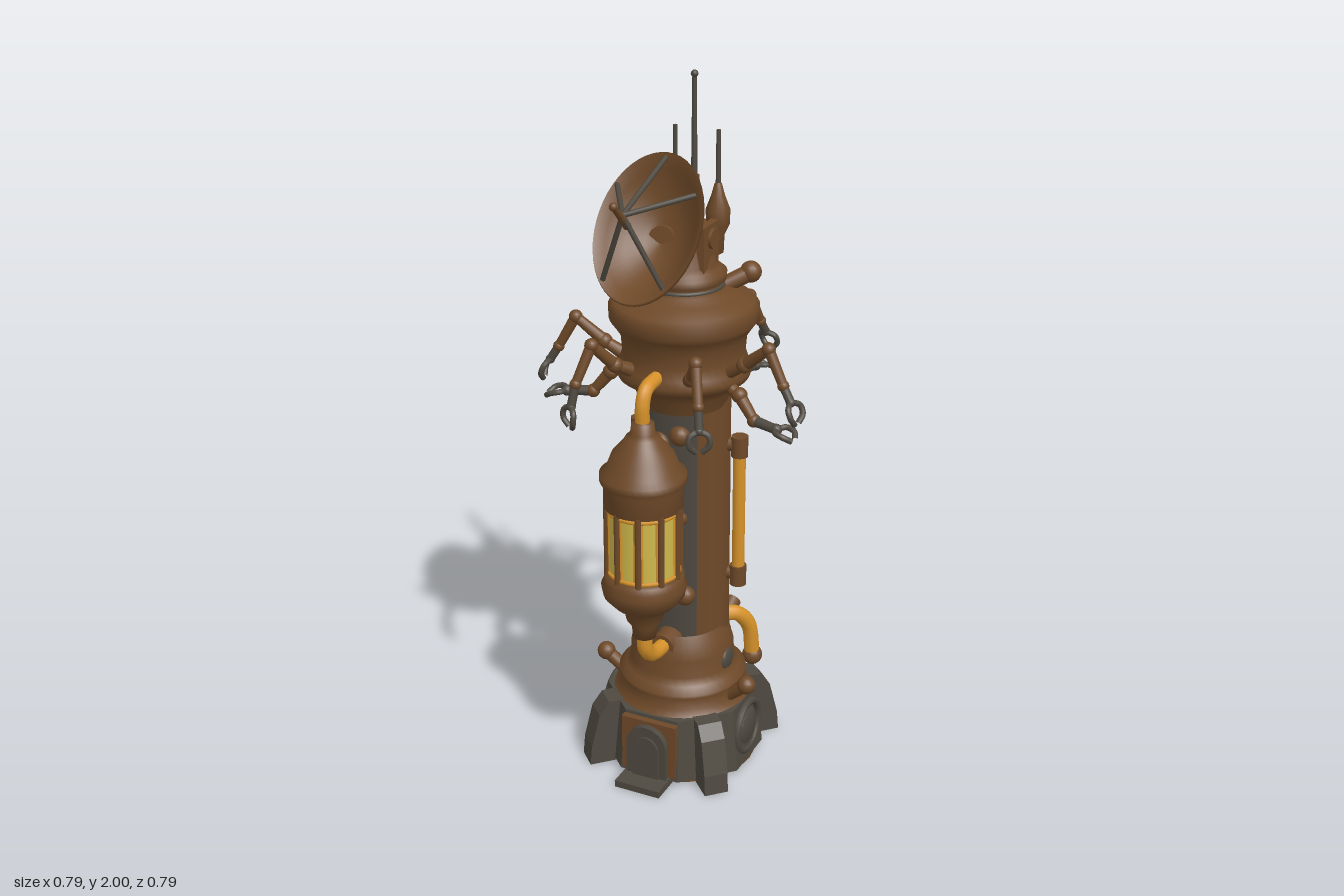
import * as THREE from 'three';

const mat = (name, color) => {
  const m = new THREE.MeshStandardMaterial({ color });
  m.name = name;
  return m;
};
const V = (x, y, z) => new THREE.Vector3(x, y, z);

export function createModel() {
  const model = new THREE.Group();
  model.name = 'watchtower';
  const brown = mat('rusty brown', 0x6e4928);
  const grey = mat('dark iron', 0x4e4940);
  const gold = mat('amber', 0xd6922a);
  const glass = mat('pale yellow glass', 0xcfb84c);

  // Helpers
  const add = (name, geo, m, parent = model, pos = [0, 0, 0]) => {
    const mesh = new THREE.Mesh(geo, m);
    mesh.name = name;
    mesh.position.set(...pos);
    parent.add(mesh);
    return mesh;
  };
  const lathe = (name, pts, m, pos, parent = model, seg = 40) =>
    add(name, new THREE.LatheGeometry(pts.map(p => new THREE.Vector2(...p)), seg), m, parent, pos);
  const ball = (name, p, r, m, parent = model) =>
    add(name, new THREE.SphereGeometry(r, 16, 10), m, parent, p);
  const rod = (name, a, b, r1, r2, m, parent = model) => {
    const p = V(...a), q = V(...b), d = q.clone().sub(p);
    const mesh = add(name, new THREE.CylinderGeometry(r2, r1, d.length(), 14), m, parent);
    mesh.position.copy(p).add(q).multiplyScalar(0.5);
    mesh.quaternion.setFromUnitVectors(V(0, 1, 0), d.normalize());
    return mesh;
  };
  const tube = (name, pts, r, m, parent = model) =>
    add(name, new THREE.TubeGeometry(new THREE.CatmullRomCurve3(pts.map(p => V(...p))), 24, r, 10), m, parent);
  const box = (name, w, h, d, m, pos) => add(name, new THREE.BoxGeometry(w, h, d), m, model, pos);
  const faceted = geo => {
    const g = geo.toNonIndexed();
    g.computeVertexNormals();
    return g;
  };

  // Octagonal base, its underside and five sloped buttresses
  const base = add('base', faceted(new THREE.CylinderGeometry(0.218, 0.238, 0.19, 8)), grey, model, [0, 0.105, 0]);
  base.rotation.y = Math.PI / 8;
  add('baseUnderside', new THREE.CylinderGeometry(0.22, 0.22, 0.01, 24), brown, model, [0, 0.005, 0]);
  const buttress = (angle, reach, width) => {
    const s = new THREE.Shape();
    [[0.15, 0], [reach, 0], [reach - 0.005, 0.06], [reach - 0.03, 0.16], [reach - 0.06, 0.2], [0.15, 0.205]]
      .forEach(([x, y], i) => (i ? s.lineTo(x, y) : s.moveTo(x, y)));
    const g = new THREE.ExtrudeGeometry(s, { depth: width, bevelEnabled: false });
    g.translate(0, 0, -width / 2);
    add('buttress', g, grey).rotation.y = -angle;
  };
  [1, 3, 5, 7].forEach(k => buttress(k * Math.PI / 4, 0.295, 0.07));
  buttress(-Math.PI / 2, 0.305, 0.09);

  // Arched door with brown surround and step
  const arch = (w, h) => {
    const s = new THREE.Shape();
    s.moveTo(-w, 0);
    s.lineTo(w, 0);
    s.lineTo(w, h - w);
    s.absarc(0, h - w, w, 0, Math.PI, false);
    s.lineTo(-w, 0);
    return s;
  };
  box('doorSurround', 0.17, 0.17, 0.02, brown, [0, 0.105, 0.212]);
  add('doorFrame', new THREE.ExtrudeGeometry(arch(0.062, 0.18), { depth: 0.06, bevelEnabled: false }), grey, model, [0, 0, 0.18]);
  add('door', new THREE.ExtrudeGeometry(arch(0.04, 0.14), { depth: 0.006, bevelEnabled: false }), grey, model, [0, 0.01, 0.24]);
  box('doorStep', 0.14, 0.02, 0.1, grey, [0, 0.01, 0.25]);

  // Skirt, column and head
  lathe('skirt', [[0.205, 0.185], [0.2, 0.2], [0.182, 0.215], [0.18, 0.25], [0.185, 0.262], [0.165, 0.28],
    [0.15, 0.3], [0.148, 0.35], [0.135, 0.39], [0.12, 0.42]], brown, [0, 0, -0.005]);
  const column = new THREE.Group();
  column.name = 'column';
  column.position.set(0, 0.76, -0.03);
  column.scale.z = 0.86;
  model.add(column);
  add('columnShaft', new THREE.CylinderGeometry(0.126, 0.126, 0.84, 32), brown, column);
  const shell = (name, start, len) =>
    add(name, new THREE.CylinderGeometry(0.13, 0.13, 0.8, 24, 1, true, start, len), grey, column);
  shell('backPanel', Math.PI - 0.85, 1.7);
  shell('frontPanel', -0.62, 1.24);
  lathe('head', [[0.12, 1.1], [0.135, 1.14], [0.15, 1.165], [0.18, 1.18], [0.187, 1.2], [0.178, 1.22], [0.168, 1.25],
    [0.172, 1.3], [0.192, 1.33], [0.203, 1.345], [0.205, 1.38], [0.192, 1.395], [0.15, 1.415], [0.115, 1.43],
    [0.104, 1.445], [0.114, 1.455], [0.116, 1.475], [0.1, 1.488], [0.088, 1.5], [0.078, 1.56], [0.06, 1.61], [0, 1.625]],
  brown, [0, 0, -0.012], model, 48);
  add('neckBand', new THREE.TorusGeometry(0.105, 0.006, 8, 32).rotateX(Math.PI / 2), grey, model, [0, 1.44, -0.012]);

  // Front fittings on the column
  [[0.045, 0.54, 0.03], [-0.04, 0.5, 0.026], [0, 0.6, 0.024], [0.03, 0.78, 0.022], [-0.03, 1.0, 0.032], [0.03, 1.03, 0.03]]
    .forEach(([x, y, r]) => ball('fitting', [x, y, 0.075], r, brown));
  rod('pipeSocket', [0, 0.39, 0.05], [0, 0.39, 0.13], 0.045, 0.034, brown);

  // Hanging lantern with its two pipes
  const lantern = new THREE.Group();
  lantern.name = 'lantern';
  lantern.position.set(0, 0, 0.24);
  model.add(lantern);
  lathe('lanternCap', [[0.09, 0.885], [0.108, 0.89], [0.108, 0.95], [0.118, 0.965], [0.118, 0.985], [0.1, 1.0],
    [0.085, 1.04], [0.055, 1.075], [0.046, 1.09], [0.034, 1.1], [0.03, 1.13], [0, 1.135]], brown, [0, 0, 0], lantern);
  lathe('lanternBowl', [[0, 0.48], [0.032, 0.485], [0.036, 0.52], [0.05, 0.54], [0.056, 0.57], [0.085, 0.59], [0.112, 0.62],
    [0.118, 0.65], [0.11, 0.665], [0.11, 0.685], [0.095, 0.69], [0, 0.69]], brown, [0, 0, 0], lantern);
  add('lanternGlass', new THREE.CylinderGeometry(0.096, 0.096, 0.22, 32), glass, lantern, [0, 0.785, 0]);
  for (let i = 0; i < 10; i++) {
    const a = (i + 0.5) * Math.PI / 5, s = Math.sin(a), c = Math.cos(a);
    add('paneEdge', new THREE.CylinderGeometry(0.016, 0.016, 0.21, 8), gold, lantern, [s * 0.087, 0.785, c * 0.087]);
    add('lanternPost', new THREE.CylinderGeometry(0.009, 0.009, 0.22, 8), brown, lantern, [s * 0.101, 0.785, c * 0.101]);
  }
  [0.695, 0.88].forEach(y =>
    add('glassRing', new THREE.TorusGeometry(0.097, 0.006, 6, 32).rotateX(Math.PI / 2), gold, lantern, [0, y, 0]));
  tube('upperPipe', [[0, 1.1, 0.24], [0, 1.18, 0.24], [0, 1.215, 0.22], [0, 1.225, 0.15]], 0.02, gold);
  tube('lowerPipe', [[0, 0.5, 0.24], [0, 0.44, 0.235], [0, 0.4, 0.19], [0, 0.39, 0.08]], 0.022, gold);

  // Claw arm in the x-y plane: joints, tapering links and a two-fingered grip
  const arm = (dx, dz, pts, name) => {
    const g = new THREE.Group();
    g.name = name;
    g.rotation.y = -Math.atan2(dz, dx);
    model.add(g);
    const P = pts.map(([x, y]) => [x, y, 0]);
    const end = P.length - 1;
    for (let i = 0; i < end; i++) {
      const m = i < end - 1 ? brown : grey;
      rod('armLink', P[i], P[i + 1], 0.021 - i * 0.003, 0.015 - i * 0.001, m, g);
      ball('armJoint', P[i + 1], 0.022 - i * 0.003, m, g);
    }
    const [ax, ay] = pts[end - 1], [x, y] = pts[end];
    const grip = new THREE.Group();
    grip.name = 'claw';
    grip.position.set(x, y, 0);
    grip.rotation.z = Math.atan2(y - ay, x - ax);
    g.add(grip);
    [-1, 1].forEach(s =>
      tube('clawFinger', [[0, 0, 0], [0.015, 0.004, s * 0.025], [0.04, 0, s * 0.026], [0.058, -0.012, s * 0.008]], 0.008, grey, grip));
  };
  const upper = [[0.15, 1.22], [0.215, 1.26], [0.295, 1.325], [0.345, 1.235], [0.37, 1.195]];
  const frontUpper = [[0.15, 1.22], [0.21, 1.25], [0.28, 1.32], [0.33, 1.22], [0.345, 1.16]];
  const lower = [[0.13, 1.2], [0.2, 1.17], [0.25, 1.11], [0.325, 1.105]];
  for (const s of [-1, 1]) {
    arm(s * 0.97, 0.25, upper, 'sideUpperArm');
    arm(s * 0.97, 0.25, lower, 'sideLowerArm');
    arm(s * 0.255, -0.967, upper, 'backUpperArm');
    arm(s * 0.255, -0.967, lower, 'backLowerArm');
    arm(s * 0.54, 0.84, frontUpper, 'frontArm');

    // Side light tubes with capped ends
    const x = s * 0.155, z = -0.045;
    rod('lightTube', [x, 0.57, z], [x, 0.98, z], 0.018, 0.018, gold);
    [0.575, 0.975].forEach(y => {
      rod('tubeCap', [x, y - 0.03, z], [x, y + 0.03, z], 0.024, 0.024, brown);
      rod('tubeBracket', [x, y, z], [s * 0.1, y, z], 0.016, 0.024, brown);
    });

    // Curved pipes at the rear of the skirt
    tube('rearPipe', [[s * 0.08, 0.4, -0.1], [s * 0.115, 0.395, -0.13], [s * 0.14, 0.35, -0.16], [s * 0.148, 0.24, -0.175]], 0.023, gold);
    ball('pipeFoot', [s * 0.148, 0.24, -0.175], 0.03, brown);

    // Stub vents on the skirt and on the neck
    rod('skirtVent', [s * 0.14, 0.2, 0.03], [s * 0.225, 0.275, 0.045], 0.018, 0.02, brown);
    ball('ventCap', [s * 0.225, 0.275, 0.045], 0.027, brown);
    rod('neckVent', [s * 0.08, 1.42, -0.07], [s * 0.145, 1.455, -0.12], 0.022, 0.024, brown);
    ball('ventCap', [s * 0.147, 1.457, -0.122], 0.03, brown);

    // Round windows on the base and skirt
    ball('sideBoss', [s * 0.205, 0.11, 0], 0.06, grey).scale.x = 0.35;
    add('bossRing', new THREE.TorusGeometry(0.075, 0.012, 8, 28).rotateY(Math.PI / 2), grey, model, [s * 0.21, 0.11, 0]);
    ball('skirtPort', [s * 0.142, 0.32, 0], 0.036, grey).scale.x = 0.4;

    // Dish yoke
    box('yokePlate', 0.022, 0.13, 0.09, brown, [s * 0.072, 1.55, -0.005]);
    rod('yokePivot', [s * 0.05, 1.575, -0.01], [s * 0.092, 1.575, -0.01], 0.03, 0.028, brown);

    // Small aerials on insulators
    lathe('aerialInsulator', [[0, 1.5], [0.016, 1.51], [0.018, 1.56], [0.032, 1.59], [0.033, 1.63], [0.018, 1.67], [0.01, 1.7], [0, 1.71]],
      brown, [s * 0.063, 0, -0.09], model, 16);
    rod('sideAerial', [s * 0.063, 1.68, -0.09], [s * 0.063, 1.845, -0.09], 0.007, 0.006, grey);
  }

  // Central mast
  rod('mastFoot', [0, 1.55, -0.075], [0, 1.72, -0.075], 0.025, 0.014, brown);
  rod('mast', [0, 1.7, -0.075], [0, 1.99, -0.075], 0.009, 0.006, grey);
  ball('mastTip', [0, 1.99, -0.075], 0.01, grey);

  // Bent exhaust at the back of the base
  tube('exhaust', [[0.02, 0.17, -0.19], [0.02, 0.19, -0.24], [0.02, 0.24, -0.265], [0.02, 0.28, -0.25], [0.02, 0.31, -0.29]], 0.018, grey);
  rod('exhaustCap', [0.02, 0.298, -0.262], [0.02, 0.322, -0.315], 0.022, 0.027, brown);

  // Oval dish, mount and feed struts
  const dish = lathe('dish', [[0, -0.11], [0.3, -0.1], [0.6, -0.072], [0.85, -0.032], [1, 0], [0.98, 0.008],
    [0.83, -0.02], [0.58, -0.06], [0.3, -0.087], [0, -0.097]], brown, [0, 1.65, 0.2], model, 48);
  dish.scale.set(0.148, 1, 0.207);
  dish.rotation.x = 0.966;
  rod('dishMount', [0, 1.56, -0.03], [0, 1.595, 0.125], 0.055, 0.04, brown);
  const hub = [0, 1.725, 0.34];
  [[0, 1.81, 0.095], [0.11, 1.74, 0.155], [-0.11, 1.74, 0.155], [0.085, 1.53, 0.29], [-0.085, 1.53, 0.29]]
    .forEach(p => rod('feedStrut', p, hub, 0.007, 0.007, grey));
  rod('feedHorn', [0, 1.69, 0.315], [0, 1.757, 0.385], 0.011, 0.008, brown);
  ball('feedTip', [0, 1.76, 0.388], 0.011, brown);

  return model;
}
